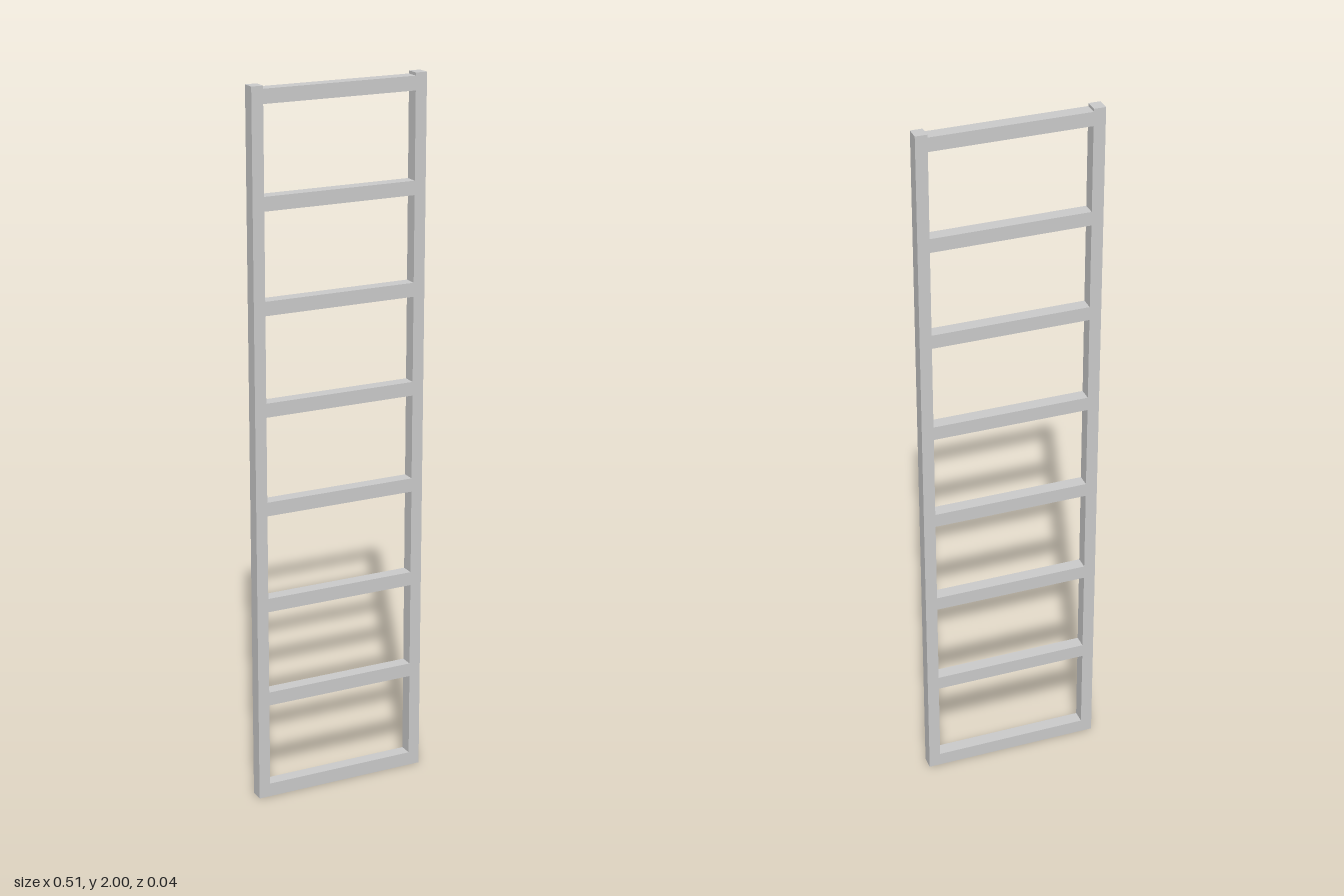
import * as THREE from 'three';

export function createModel() {
  const ladder = new THREE.Group();
  ladder.name = 'ladder';
  const material = new THREE.MeshStandardMaterial({ color: 0xcccccc, flatShading: true });
  const depth = 0.038, railWidth = 0.033, halfWidth = 0.253;
  const rungCount = 8, rungHeight = 0.039, rungSpacing = 0.279;

  const addBar = (name, width, height, x, bottom) => {
    const bar = new THREE.Mesh(new THREE.BoxGeometry(width, height, depth), material);
    bar.name = name;
    bar.position.set(x, bottom + height / 2, 0);
    ladder.add(bar);
  };

  // Side rails, standing slightly proud of the top rung
  addBar('leftRail', railWidth, 2, halfWidth - railWidth / 2, 0);
  addBar('rightRail', railWidth, 2, -halfWidth + railWidth / 2, 0);

  // Evenly spaced rungs fitted between the rails
  for (let i = 0; i < rungCount; i++) {
    addBar(`rung${i + 1}`, 2 * (halfWidth - railWidth), rungHeight, 0, i * rungSpacing);
  }
  return ladder;
}
